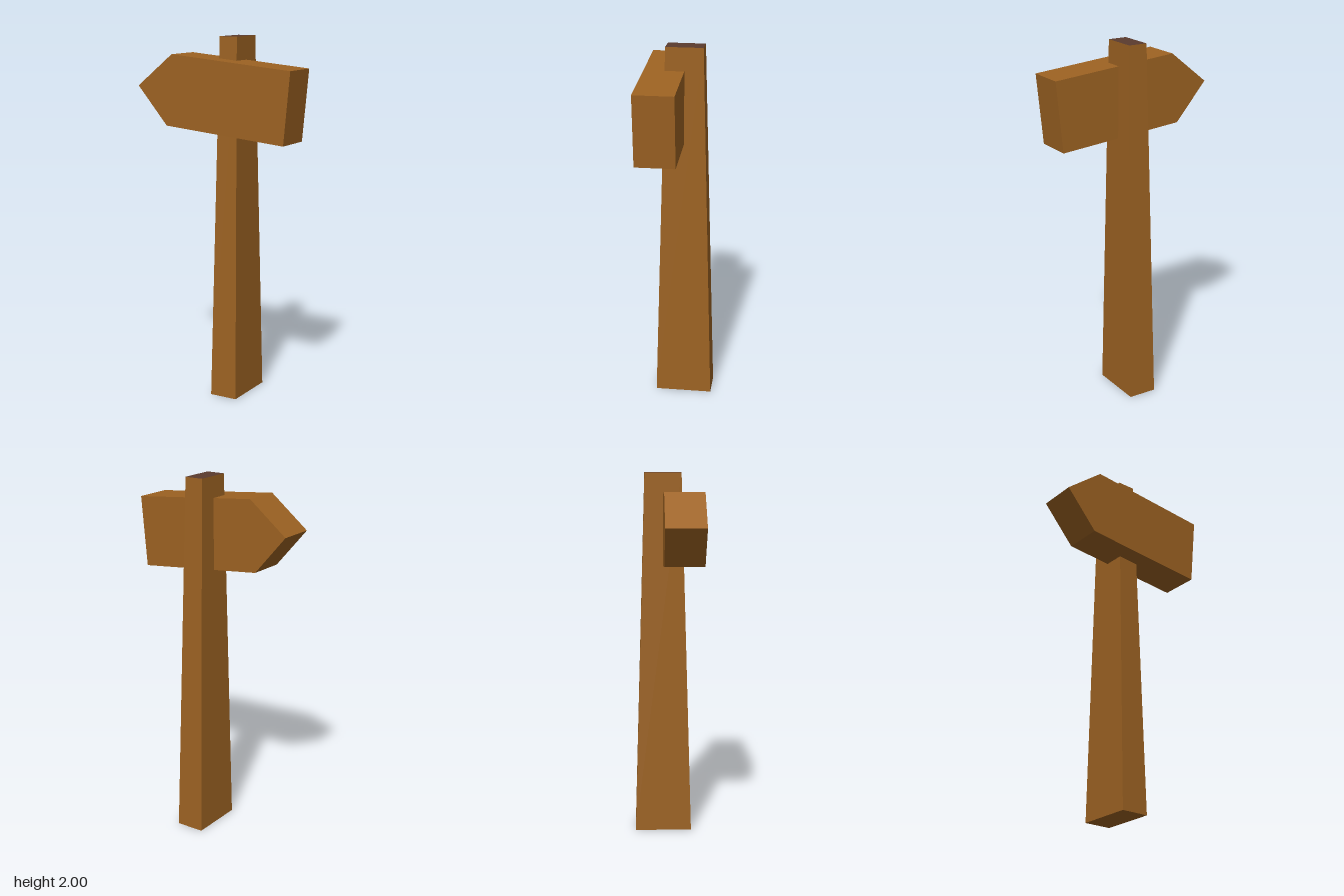
import * as THREE from 'three';

export function createModel() {
  const wood = new THREE.MeshStandardMaterial({ color: 0x9c6222, flatShading: true });
  wood.name = 'wood';
  const endGrain = new THREE.MeshStandardMaterial({ color: 0x5a3b2e, flatShading: true });
  endGrain.name = 'endGrain';

  const model = new THREE.Group();
  model.name = 'signpost';

  // Tapered post: a unit box whose corners are moved to the foot and top rectangles
  const foot = { x: [-0.045, 0.114], z: [-0.186, 0.126] };
  const top = { x: [-0.018, 0.087], z: [-0.13, 0.07] };
  const postGeo = new THREE.BoxGeometry(1, 1, 1);
  const p = postGeo.attributes.position;
  for (let i = 0; i < p.count; i++) {
    const ring = p.getY(i) > 0 ? top : foot;
    p.setXYZ(i, ring.x[p.getX(i) > 0 ? 1 : 0], p.getY(i) > 0 ? 2 : 0, ring.z[p.getZ(i) > 0 ? 1 : 0]);
  }
  postGeo.computeVertexNormals();
  // The upward face shows the darker end grain
  const post = new THREE.Mesh(postGeo, [wood, wood, endGrain, wood, wood, wood]);
  post.name = 'post';
  model.add(post);

  // Tilted arrow board, running through the front of the post
  const outline = [[-0.467, 1.728], [-0.286, 1.518], [0.428, 1.455], [0.465, 1.841], [-0.25, 1.904]];
  const shape = new THREE.Shape(outline.map(([x, y]) => new THREE.Vector2(x, y)));
  const boardGeo = new THREE.ExtrudeGeometry(shape, { depth: 0.215, bevelEnabled: false });
  boardGeo.translate(0, 0, -0.03);
  const board = new THREE.Mesh(boardGeo, wood);
  board.name = 'arrowBoard';
  model.add(board);

  return model;
}
